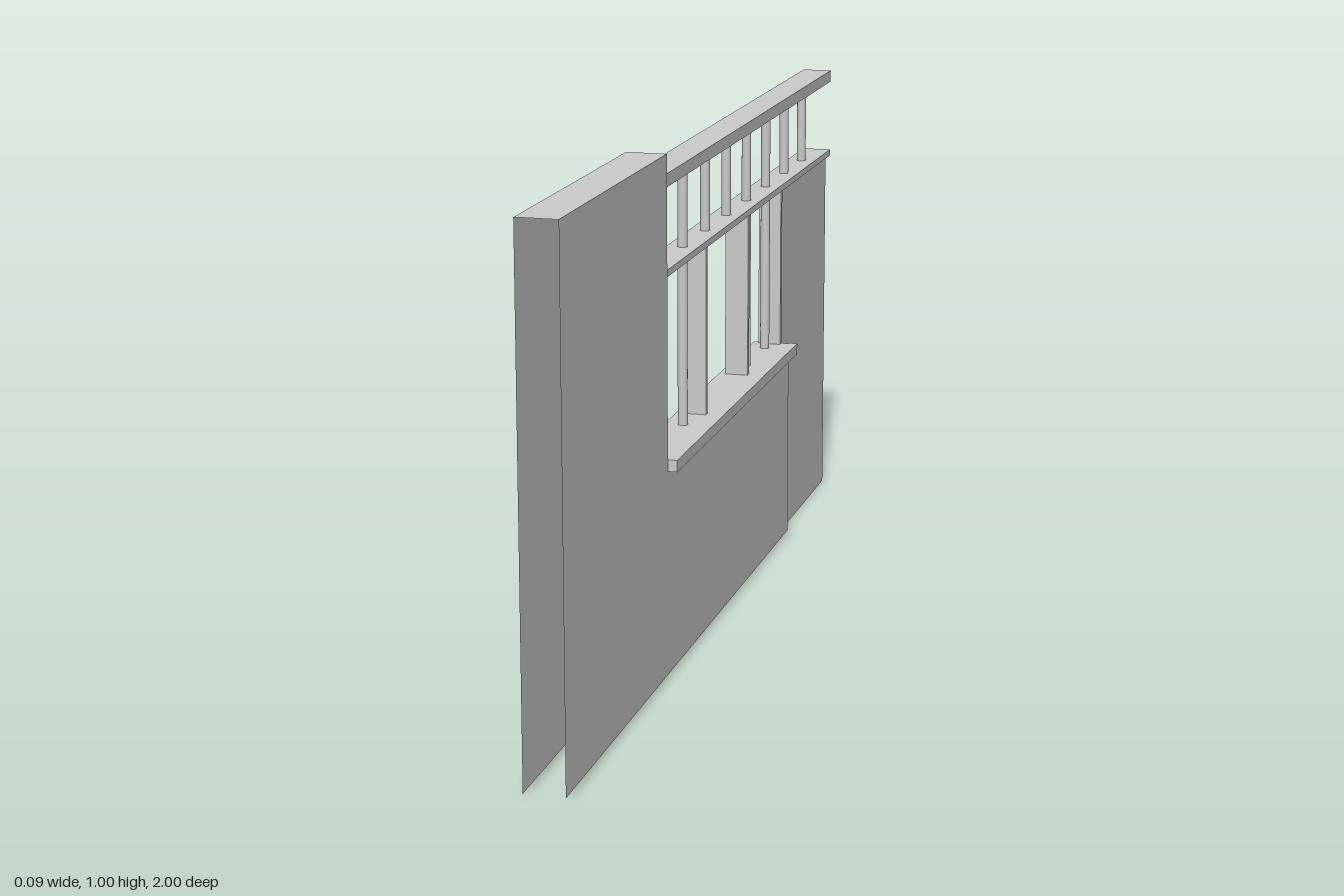
import * as THREE from 'three';

const material = new THREE.MeshStandardMaterial({ color: 0xcccccc, side: THREE.DoubleSide });
const SIDES = ['right', 'left', 'top', 'bottom', 'front', 'back'];

// Box between two corners; faces named in `open` are left out
function box(name, [x0, x1], [y0, y1], [z0, z1], open = []) {
  const geometry = new THREE.BoxGeometry(x1 - x0, y1 - y0, z1 - z0);
  const index = Array.from(geometry.index.array);
  const kept = SIDES.flatMap((side, i) => (open.includes(side) ? [] : index.slice(i * 6, i * 6 + 6)));
  geometry.setIndex(kept);
  geometry.clearGroups();
  geometry.translate((x0 + x1) / 2, (y0 + y1) / 2, (z0 + z1) / 2);
  const mesh = new THREE.Mesh(geometry, material);
  mesh.name = name;
  return mesh;
}

function rod(name, z, y0, y1) {
  const geometry = new THREE.CylinderGeometry(0.01, 0.01, y1 - y0, 12);
  const mesh = new THREE.Mesh(geometry, material);
  mesh.position.set(-0.013, (y0 + y1) / 2, z);
  mesh.name = name;
  return mesh;
}

export function createModel() {
  const model = new THREE.Group();
  model.name = 'partitionWall';

  // Hollow L-shaped wall, open underneath and at its front end
  const wall = new THREE.Group();
  wall.name = 'wall';
  const wallX = [-0.049, 0.028];
  wall.add(
    box('lowWall', wallX, [0.008, 0.43], [-0.575, 0.37], ['bottom', 'front']),
    box('tallWallBase', wallX, [0.008, 0.43], [0.37, 1], ['bottom', 'top', 'front', 'back']),
    box('tallWallTop', wallX, [0.43, 1.005], [0.37, 1], ['bottom', 'front'])
  );
  model.add(wall);

  // Sill ledge along the opening
  model.add(box('sill', [0.028, 0.046], [0.407, 0.43], [-0.58, 0.37]));

  // Door panel beside the low wall
  model.add(box('door', [-0.031, 0.008], [0, 0.768], [-1, -0.59], ['bottom']));

  // Hollow rails with open ends
  const railX = [-0.044, 0.018];
  model.add(box('topRail', railX, [0.937, 0.962], [-1, 0.37], ['front', 'back']));
  model.add(box('middleRail', railX, [0.769, 0.782], [-1, 0.37], ['front', 'back']));

  // Flat window boards
  for (const z of [0.037, -0.289, -0.568]) {
    model.add(box('windowBoard', [-0.036, 0.012], [0.428, 0.77], [z - 0.006, z + 0.006]));
  }

  // Evenly spaced rods; some continue down to the low wall
  for (let i = 0; i < 8; i++) {
    const z = 0.284 - i * 0.162;
    model.add(rod('upperRod', z, 0.78, 0.938));
    if ([0, 1, 4, 5].includes(i)) model.add(rod('lowerRod', z, 0.43, 0.77));
  }
  return model;
}
